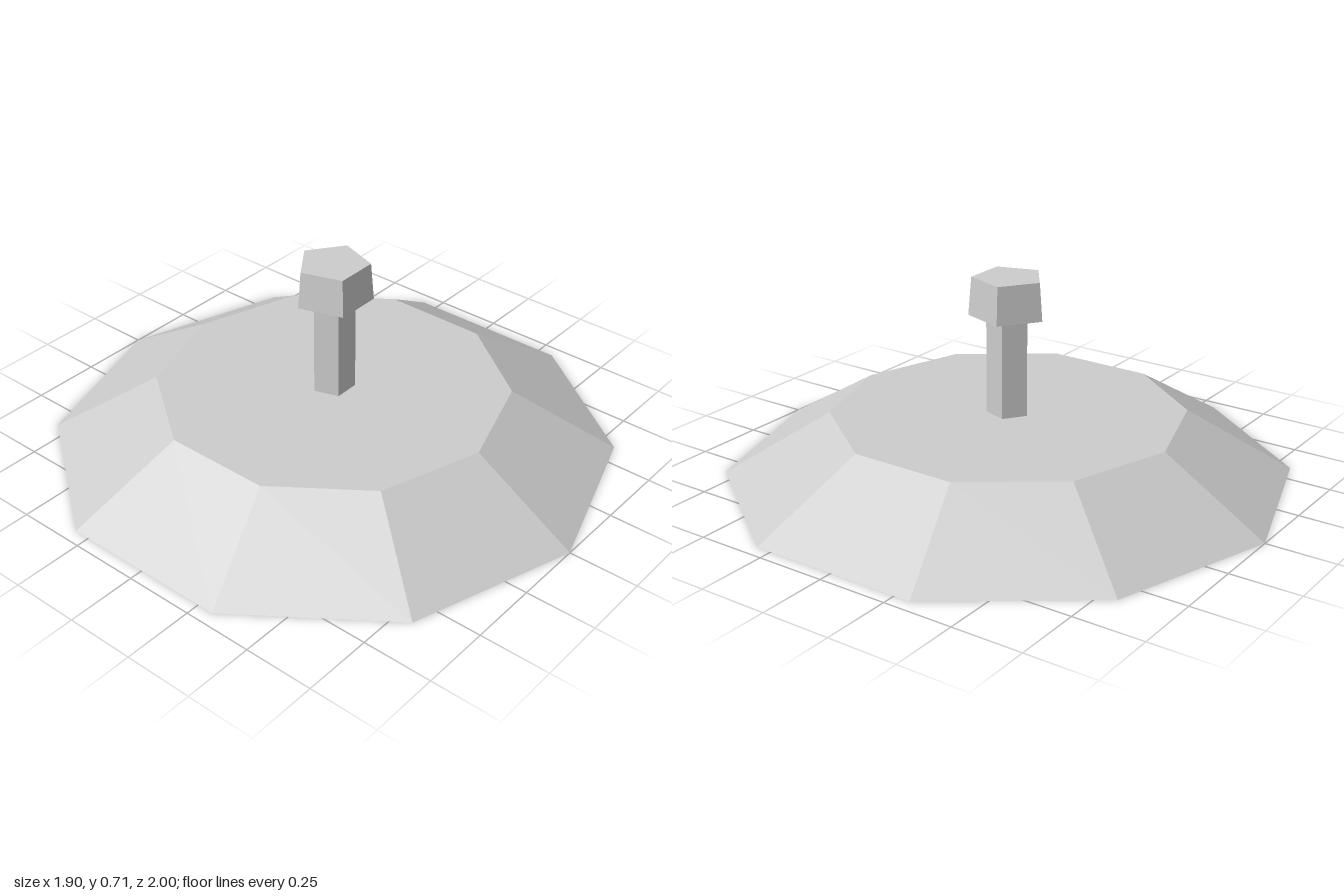
import * as THREE from 'three';

export function createModel() {
  const model = new THREE.Group();
  const grey = new THREE.MeshStandardMaterial({ color: 0xcccccc, flatShading: true });
  grey.name = 'light grey';

  // Faceted solid turned from a closed [radius, height] profile, listed from the underside up
  function addTurned(name, profile, sides, startAngle) {
    const points = profile.map(([r, y]) => new THREE.Vector2(r, y));
    const geometry = new THREE.LatheGeometry(points, sides, startAngle).toNonIndexed();
    geometry.computeVertexNormals();
    const mesh = new THREE.Mesh(geometry, grey);
    mesh.name = name;
    model.add(mesh);
  }

  // Ten-sided sloping base with a shallow recess underneath
  addTurned('base', [[0, 0.095], [0.755, 0.095], [1, 0], [0.625, 0.225], [0, 0.225]], 10, 0);

  // Five-sided stem and tapered knob, each with a corner to the back
  addTurned('stem', [[0.077, 0.215], [0.077, 0.585]], 5, Math.PI);
  addTurned('knob', [[0, 0.58], [0.138, 0.58], [0.127, 0.715], [0, 0.715]], 5, Math.PI);

  return model;
}
